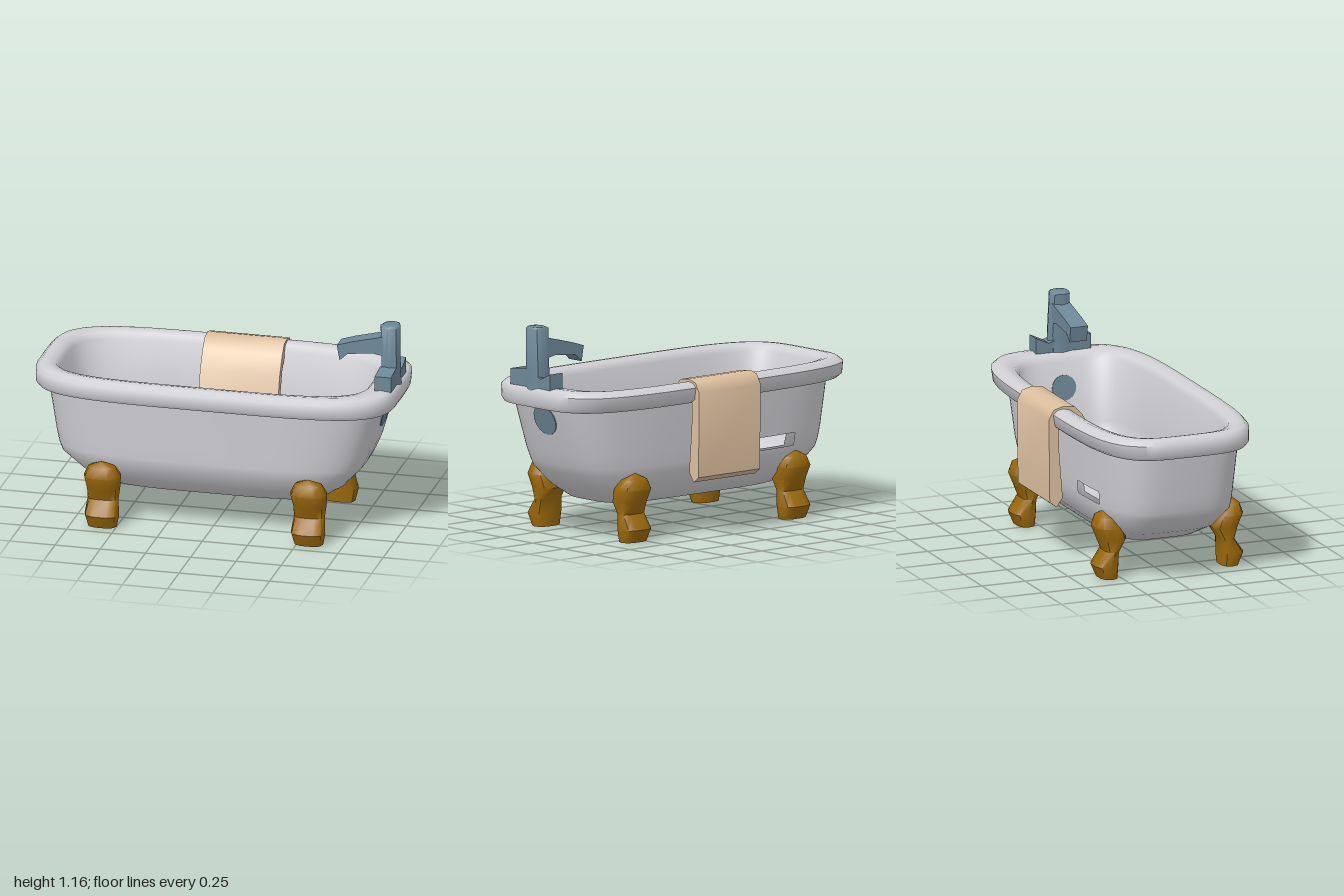
import * as THREE from 'three';
import { mergeVertices, toCreasedNormals } from 'three/addons/utils/BufferGeometryUtils.js';

const mat = (name, color) => {
  const m = new THREE.MeshStandardMaterial({ color });
  m.name = name;
  return m;
};

// Skins superellipse rings given as [y, xMin, xMax, zMin, zMax], bottom first.
function loft(rows, sides, power, crease, skip = () => false) {
  const pos = [], index = [];
  const bend = (v) => Math.sign(v) * Math.pow(Math.abs(v), 2 / power);
  for (const [y, x0, x1, z0, z1] of rows) {
    for (let i = 0; i < sides; i++) {
      const t = (i / sides) * Math.PI * 2;
      pos.push((x0 + x1) / 2 + bend(Math.cos(t)) * (x1 - x0) / 2, y,
        (z0 + z1) / 2 + bend(Math.sin(t)) * (z1 - z0) / 2);
    }
  }
  for (let r = 0; r < rows.length - 1; r++) {
    for (let i = 0; i < sides; i++) {
      if (skip(r, i)) continue;
      const j = (i + 1) % sides, a = r * sides, b = a + sides;
      index.push(a + i, b + i, a + j, a + j, b + i, b + j);
    }
  }
  const g = new THREE.BufferGeometry();
  g.setAttribute('position', new THREE.Float32BufferAttribute(pos, 3));
  g.setIndex(index);
  return toCreasedNormals(mergeVertices(g), crease);
}

// Extrudes an outline of [x, y] points.
function slab(points, depth) {
  const shape = new THREE.Shape(points.map(([x, y]) => new THREE.Vector2(x, y)));
  return new THREE.ExtrudeGeometry(shape, { depth, bevelEnabled: false });
}

export function createModel() {
  const enamel = mat('enamel', 0xd0cfd4);
  enamel.side = THREE.DoubleSide;
  const brass = mat('brass', 0x9a680c);
  const steel = mat('steel', 0x6e8898);
  const cloth = mat('cloth', 0xdcbf9f);

  const model = new THREE.Group();
  const add = (name, geometry, material, parent = model) => {
    const mesh = new THREE.Mesh(geometry, material);
    mesh.name = name;
    parent.add(mesh);
    return mesh;
  };

  // Tub: outer shell, rolled rim, then inner basin in one skin
  const tubRows = [
    [0.17, 0.02, 0.02, 0.03, 0.03],
    [0.17, -0.5, 0.5, -0.15, 0.2],
    [0.19, -0.62, 0.6, -0.24, 0.27],
    [0.26, -0.76, 0.7, -0.31, 0.34],
    [0.36, -0.86, 0.79, -0.352, 0.4],
    [0.4, -0.875, 0.81, -0.358, 0.405],
    [0.47, -0.89, 0.84, -0.365, 0.41],
    [0.73, -0.93, 0.915, -0.38, 0.43],
    [0.73, -0.985, 0.975, -0.425, 0.465],
    [0.75, -1, 0.985, -0.45, 0.478],
    [0.815, -1, 0.99, -0.46, 0.48],
    [0.838, -0.975, 0.97, -0.435, 0.46],
    [0.843, -0.94, 0.93, -0.4, 0.425],
    [0.832, -0.9, 0.84, -0.36, 0.38],
    [0.8, -0.88, 0.81, -0.34, 0.36],
    [0.47, -0.84, 0.77, -0.325, 0.345],
    [0.4, -0.82, 0.745, -0.315, 0.335],
    [0.28, -0.72, 0.63, -0.26, 0.29],
    [0.215, -0.52, 0.46, -0.15, 0.19],
    [0.21, 0, 0, 0.02, 0.02],
  ];
  // Slot through both walls at the back
  const slot = (r, i) => (r === 5 || r === 15) && i >= 44 && i <= 46;
  add('tub', loft(tubRows, 64, 4.1, 0.9, slot), enamel);

  // Four curved feet, the back pair turned round
  const legRows = [
    [0, 0, 0, 0.01, 0.01],
    [0, -0.08, 0.08, -0.04, 0.06],
    [0.07, -0.095, 0.095, -0.045, 0.09],
    [0.15, -0.085, 0.085, -0.045, 0.033],
    [0.215, -0.092, 0.092, -0.09, 0.06],
    [0.285, -0.102, 0.102, -0.07, 0.088],
    [0.34, -0.075, 0.075, -0.03, 0.07],
    [0.372, 0, 0, 0.03, 0.03],
  ];
  const legGeometry = loft(legRows, 10, 2.6, 0.8);
  for (const [side, x] of [['Left', 0.56], ['Right', -0.58]]) {
    add('front' + side + 'Leg', legGeometry, brass).position.set(x, 0, 0.38);
    const back = add('back' + side + 'Leg', legGeometry, brass);
    back.position.set(x, 0, -0.3);
    back.rotation.y = Math.PI;
  }

  // Towel draped over the back rim, outline in z and y
  const towel = slab([
    [-0.44, 0.3], [-0.405, 0.35], [-0.425, 0.6], [-0.43, 0.79], [-0.36, 0.8],
    [-0.29, 0.71], [-0.215, 0.49], [-0.18, 0.51], [-0.235, 0.7], [-0.29, 0.8],
    [-0.335, 0.848], [-0.4, 0.857], [-0.455, 0.842], [-0.485, 0.79], [-0.48, 0.33],
  ], 0.44);
  towel.rotateY(-Math.PI / 2).translate(0.24, 0, 0);
  add('towel', toCreasedNormals(towel, 0.8), cloth);

  // Tap: column, spout and cross handles
  const tap = new THREE.Group();
  tap.name = 'tap';
  model.add(tap);
  add('column', loft([
    [0.81, 0.86, 0.985, -0.02, 0.105],
    [0.93, 0.875, 0.98, -0.02, 0.105],
    [1.155, 0.87, 0.98, -0.008, 0.105],
    [1.165, 0.89, 0.97, 0, 0.095],
    [1.165, 0.925, 0.925, 0.045, 0.045],
  ], 8, 2.6, 0.9), steel, tap);

  const spout = slab([
    [0.92, 1.11], [0.84, 1.09], [0.72, 1.06], [0.64, 1.035], [0.655, 0.95],
    [0.7, 0.99], [0.84, 1.005], [0.92, 0.99],
  ], 0.1);
  add('spout', spout.translate(0, 0, -0.005), steel, tap);

  const handles = slab([
    [-0.105, 0.835], [0.215, 0.835], [0.215, 0.92], [0.1, 0.935], [-0.03, 0.89], [-0.105, 0.925],
  ], 0.09);
  handles.rotateY(-Math.PI / 2).translate(0.97, 0, 0);
  add('handles', handles, steel, tap);

  // Drain plates on both faces of the tap end
  const plate = (name, r, x, y, tilt) => {
    const m = add(name, new THREE.CylinderGeometry(r, r, 0.009, 16), steel, tap);
    m.position.set(x, y, 0.02);
    m.rotation.z = -Math.PI / 2 - tilt;
  };
  plate('outerDrainPlate', 0.086, 0.893, 0.655, 0.28);
  plate('innerDrainPlate', 0.07, 0.793, 0.66, 0.12);

  return model;
}
